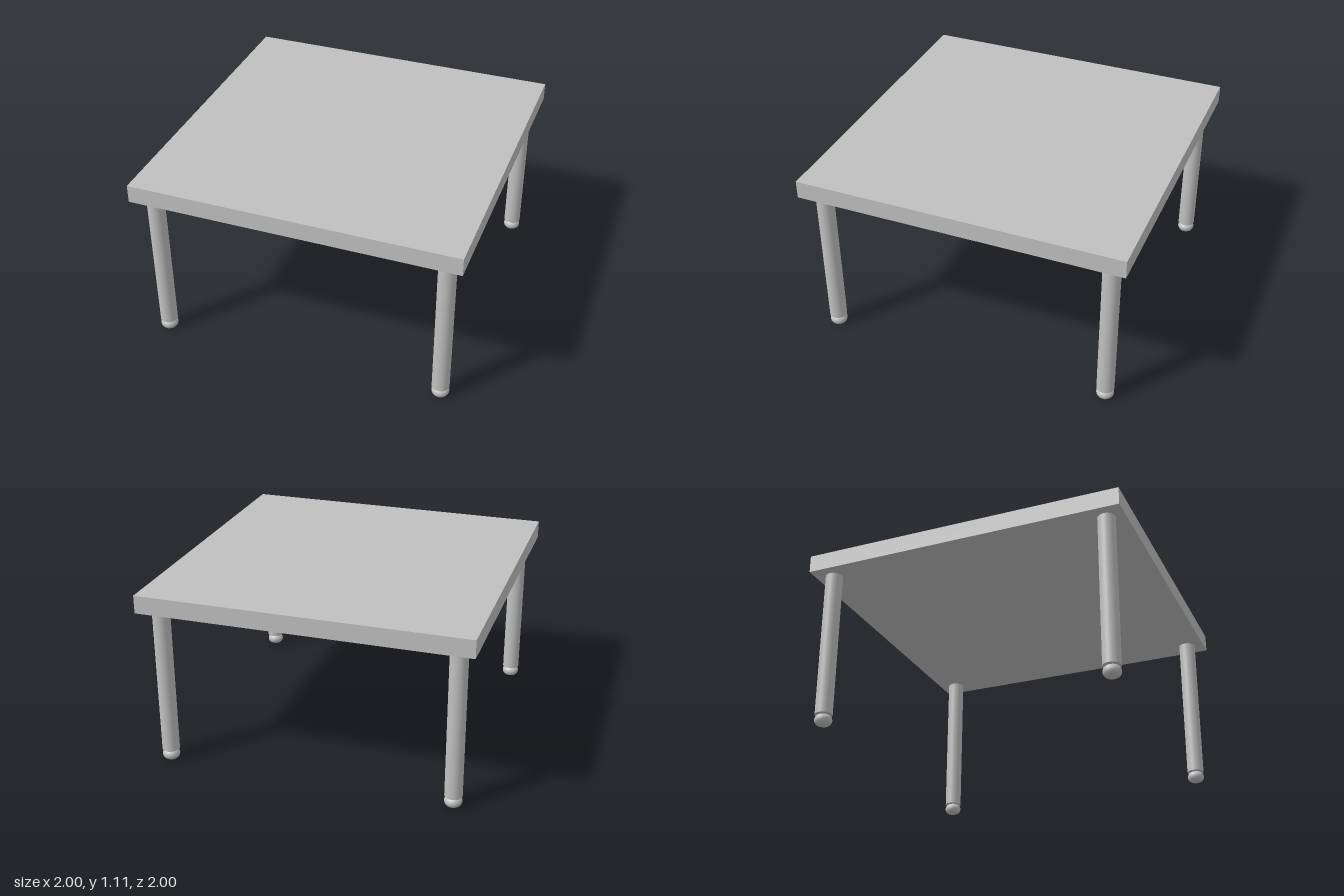
import * as THREE from 'three';

const LEG_RADIUS = 0.053;
const LEG_OFFSET = 0.889;
const FOOT_HEIGHT = 0.068;
const TOP_BOTTOM = 1.0;
const TOP_HEIGHT = 1.11;

// Squat foot with a rounded rim, turned around the leg axis
function footGeometry() {
  const round = FOOT_HEIGHT / 2;
  const flat = LEG_RADIUS - round;
  const profile = [new THREE.Vector2(0, 0)];
  for (let i = 0; i <= 12; i++) {
    const a = -Math.PI / 2 + (i / 12) * Math.PI;
    profile.push(new THREE.Vector2(flat + round * Math.cos(a), round + round * Math.sin(a)));
  }
  profile.push(new THREE.Vector2(0, FOOT_HEIGHT));
  return new THREE.LatheGeometry(profile, 40);
}

export function createModel() {
  const grey = new THREE.MeshStandardMaterial({ color: 0xc0c0c0 });
  grey.name = 'light grey';

  const model = new THREE.Group();
  model.name = 'table';

  const add = (parent, geometry, name, y) => {
    const mesh = new THREE.Mesh(geometry, grey);
    mesh.name = name;
    mesh.position.y = y;
    parent.add(mesh);
  };

  // Square slab
  const thickness = TOP_HEIGHT - TOP_BOTTOM;
  add(model, new THREE.BoxGeometry(2, thickness, 2), 'tableTop', TOP_BOTTOM + thickness / 2);

  // Four round legs, each on its foot
  const legLength = TOP_BOTTOM - FOOT_HEIGHT;
  const shaft = new THREE.CylinderGeometry(LEG_RADIUS, LEG_RADIUS, legLength, 40);
  const foot = footGeometry();
  for (const [z, end] of [[1, 'front'], [-1, 'back']]) {
    for (const [x, side] of [[1, 'Left'], [-1, 'Right']]) {
      const leg = new THREE.Group();
      leg.name = `${end}${side}Leg`;
      leg.position.set(x * LEG_OFFSET, 0, z * LEG_OFFSET);
      add(leg, shaft, 'legShaft', FOOT_HEIGHT + legLength / 2);
      add(leg, foot, 'foot', 0);
      model.add(leg);
    }
  }
  return model;
}
